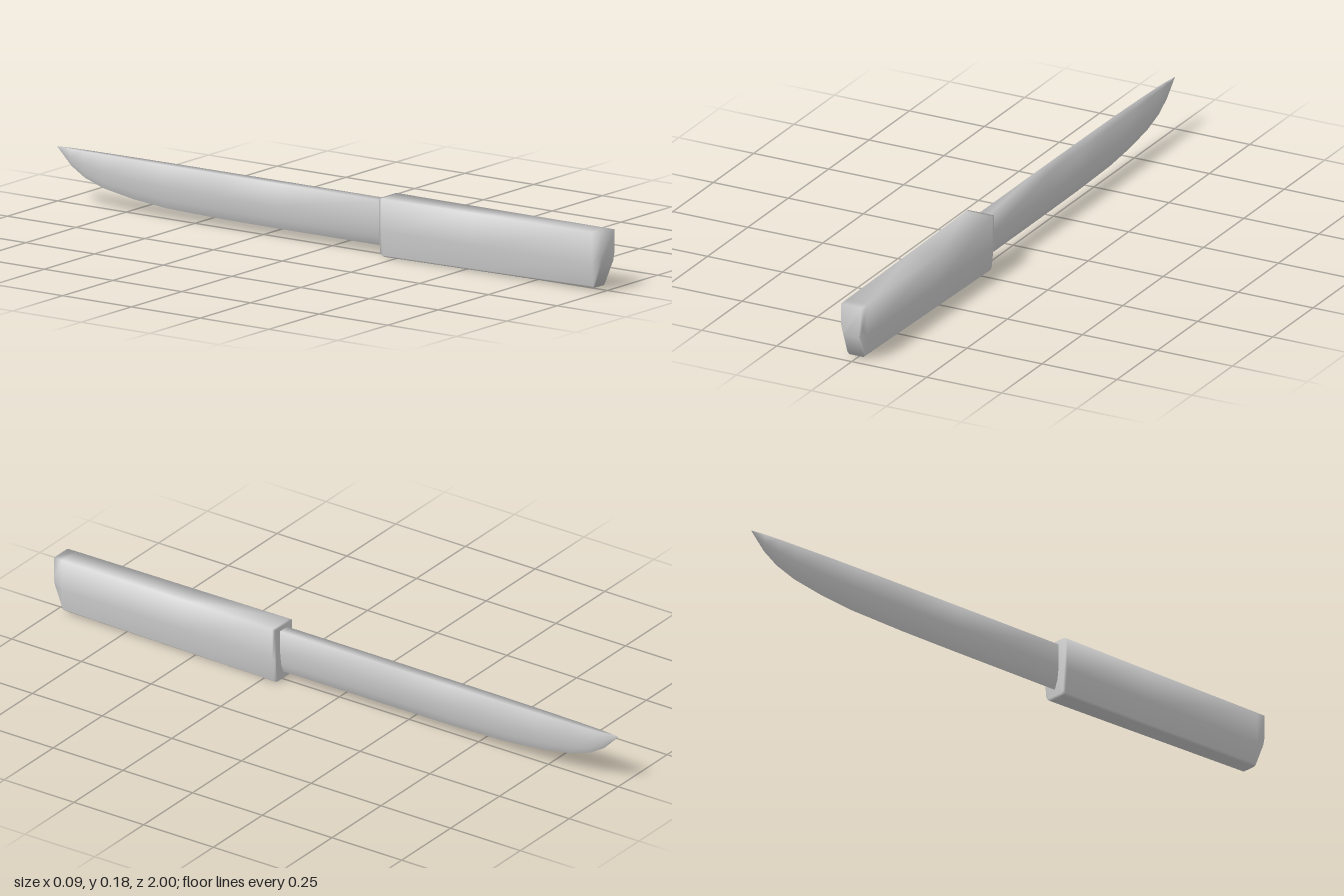
import * as THREE from 'three';

// Skin a closed, smooth solid over rings that run from +z to -z.
// Each ring is { z, half }, half being [x, y] pairs down the +x side.
function loft(name, rings) {
  const positions = [], index = [];
  const n = rings[0].half.length * 2;
  for (const { z, half } of rings) {
    const mirrored = half.map(([x, y]) => [-x, y]).reverse();
    for (const [x, y] of [...half, ...mirrored]) positions.push(x, y, z);
  }
  for (let i = 0; i < rings.length - 1; i++) {
    for (let j = 0; j < n; j++) {
      const a = i * n + j, b = i * n + (j + 1) % n;
      index.push(a, b, a + n, b, b + n, a + n);
    }
  }
  const last = (rings.length - 1) * n;
  for (let j = 1; j < n - 1; j++) {
    index.push(0, j + 1, j, last, last + j, last + j + 1);
  }
  const geometry = new THREE.BufferGeometry();
  geometry.setAttribute('position', new THREE.Float32BufferAttribute(positions, 3));
  geometry.setIndex(index);
  geometry.computeVertexNormals();
  const mesh = new THREE.Mesh(geometry, new THREE.MeshStandardMaterial({ color: 0xcccccc }));
  mesh.name = name;
  return mesh;
}

export function createModel() {
  const model = new THREE.Group();
  model.name = 'knife';

  // Handle: flat top, sides drawn in below, chamfered butt; [z, half width, middle y, bottom y]
  const handle = [
    [1, 0.035, 0.11, 0.08],
    [0.97, 0.036, 0.08, 0.008],
    [0.53, 0.04, 0.08, 0.003],
    [0.21, 0.044, 0.08, 0],
    [0.2, 0.043, 0.08, 0.004],
  ].map(([z, w, mid, bottom]) => ({
    z,
    half: [[w, 0.178], [w, mid], [w * 0.84, bottom + 0.006], [w * 0.65, bottom]],
  }));
  model.add(loft('handle', handle));

  // Blade: straight spine, cutting edge sweeping up to the tip; [z, half width, edge y]
  const spineY = 0.165;
  const blade = [
    [0.22, 0.018, 0.025],
    [-0.2, 0.018, 0.025],
    [-0.4, 0.017, 0.026],
    [-0.6, 0.016, 0.031],
    [-0.72, 0.014, 0.042],
    [-0.83, 0.011, 0.06],
    [-0.9, 0.009, 0.083],
    [-0.95, 0.006, 0.113],
    [-1, 0.0005, 0.163],
  ].map(([z, w, edge]) => {
    const depth = spineY - edge;
    return {
      z,
      half: [[w, spineY], [w, edge + depth * 0.5], [w * 0.7, edge + depth * 0.2], [w * 0.06, edge]],
    };
  });
  model.add(loft('blade', blade));

  return model;
}
